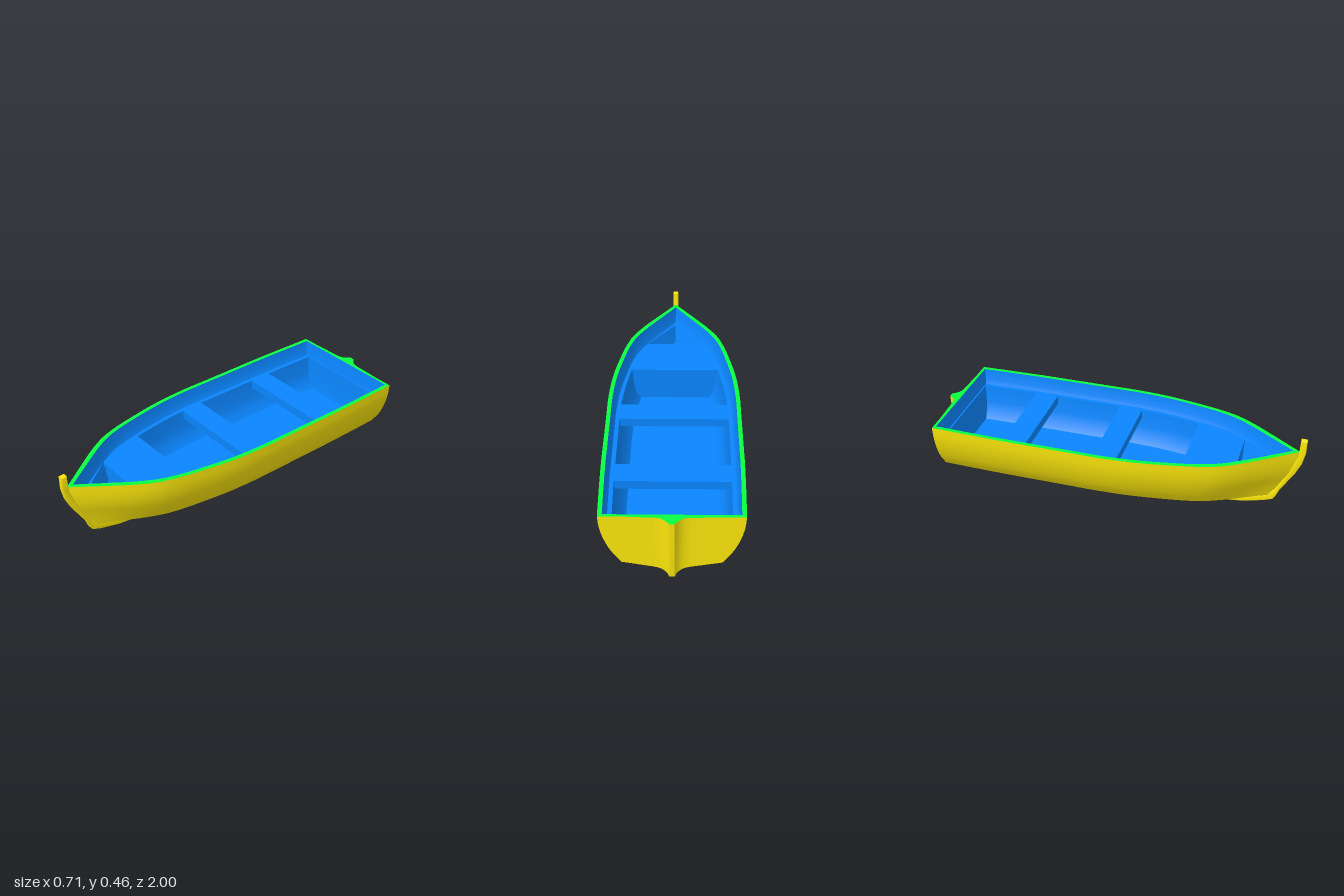
import * as THREE from 'three';
import { toCreasedNormals } from 'three/addons/utils/BufferGeometryUtils.js';

const V = (x, y, z) => new THREE.Vector3(x, y, z);
const paint = (color) => new THREE.MeshStandardMaterial({ color, side: THREE.DoubleSide });
const yellow = paint(0xfbe60a), blue = paint(0x0a86ff), green = paint(0x08ff40);

const STERN = -0.95, RIM = 0.385, DECK = 0.295, WELL_END = 0.38;

// Plan shape of one side: length fraction from stern to bow, width fraction
const plan = new THREE.SplineCurve([
  [0, 0.975], [0.1, 0.99], [0.2, 1], [0.3, 1], [0.4, 1], [0.5, 0.997], [0.6, 0.955], [0.7, 0.86],
  [0.76, 0.785], [0.81, 0.69], [0.86, 0.537], [0.91, 0.35], [0.96, 0.155], [1, 0],
].map(([t, f]) => new THREE.Vector2(t, f))).getPoints(78);

// Rise of the bottom towards bow and stern, fading out at the chine
function lift(y, z) {
  const rise = z > 0.5 ? 0.07 * ((z - 0.5) / 0.36) ** 2 : z < -0.6 ? 0.022 * (-0.6 - z) / 0.35 : 0;
  return y + rise * Math.max(0, 1 - y / 0.09);
}

// Horizontal line round the bow, from one stern corner to the other
function waterline(w, y, zb, zs = STERN, zMax = 2) {
  const half = plan.map((p) => {
    const z = Math.min(zMax, zs + (zb - zs) * p.x);
    return V(w * p.y, lift(y, z), z);
  });
  return [...half, ...half.slice(0, -1).reverse().map((p) => V(-p.x, p.y, p.z))];
}

// Swelling of the transom into the sternpost
const columns = [0.24, 0.12, 0.09, 0.065, 0.045, 0.032, 0.022, 0.012];
const allColumns = [...columns.map((x) => -x), 0, ...[...columns].reverse()];
function swell(x, y) {
  const a = Math.abs(x);
  const s = a < 0.013 ? 1 : a < 0.12 ? 0.1 + 0.9 * (1 - (a - 0.013) / 0.107) ** 4 : 0.1 * Math.max(0, 1 - (a - 0.12) / 0.12);
  return s * (0.025 + 0.025 * Math.min(1, y / RIM) ** 0.5);
}

// Waterline closed across the stern
function loop(w, y, zb, zs, { zMax, bump = 0 } = {}) {
  const side = waterline(w, y, zb, zs, zMax);
  return [...side, ...allColumns.map((x) => V(x, y, zs - bump * swell(x, y)))];
}

// Surface through rows of points
function loft(rows, closed = false) {
  const n = rows[0].length, index = [];
  for (let i = 0; i < rows.length - 1; i++) {
    for (let j = 0; j < (closed ? n : n - 1); j++) {
      const a = i * n + j, b = i * n + (j + 1) % n;
      index.push(a, a + n, b + n, a, b + n, b);
    }
  }
  const g = new THREE.BufferGeometry().setFromPoints(rows.flat());
  g.setIndex(index);
  return toCreasedNormals(g, 0.6);
}

// Flat horizontal sheet
function sheet(outline, y) {
  const shape = new THREE.Shape(outline.map((p) => new THREE.Vector2(p.x, -p.z)));
  return new THREE.ShapeGeometry(shape).rotateX(-Math.PI / 2).translate(0, y, 0);
}

export function createModel() {
  const boat = new THREE.Group();
  const add = (name, geometry, material) => {
    const mesh = new THREE.Mesh(geometry, material);
    mesh.name = name;
    boat.add(mesh);
    return mesh;
  };

  // Hull: each section point is half width, height, bow end
  const section = (pts, n) => new THREE.CatmullRomCurve3(pts.map((p) => V(...p))).getPoints(n);
  const bottom = section([[0.014, 0.004, 0.84], [0.021, 0.022, 0.845], [0.05, 0.043, 0.85],
    [0.135, 0.066, 0.853], [0.247, 0.09, 0.855]], 14);
  const topsides = section([[0.247, 0.09, 0.855], [0.298, 0.165, 0.893], [0.333, 0.25, 0.943],
    [0.349, 0.32, 0.963], [0.354, RIM, 0.968]], 14);
  const rows = (pts) => pts.map((p) => waterline(p.x, p.y, p.z));
  add('hullBottom', loft(rows(bottom)), yellow);
  add('hullSides', loft(rows(topsides)), yellow);

  // Transom with swelling sternpost
  const transom = [...bottom, ...topsides.slice(1)].map((p) => {
    const w = p.x * 0.975, y = lift(p.y, STERN);
    return [-1, ...allColumns, 1].map((c) => {
      const x = Math.max(-w, Math.min(w, c));
      return V(x, y, STERN - (Math.abs(c) === 1 ? 0 : swell(x, y)));
    });
  });
  add('transom', loft(transom.reverse()), yellow);

  // Keel sweeping up into the stem post, drawn as z, y
  const b = 0.005;
  const keelShape = new THREE.Shape([
    [0.998, 0.46], [0.998, 0.385], [0.985, 0.32], [0.955, 0.25], [0.92, 0.19], [0.885, 0.13], [0.868, 0.085],
    [0.855, 0.065], [0.81, 0.046], [0.7, 0.017], [0.6, 0.004], [0.5, 0], [-0.6, 0], [-0.965, 0.022], [-0.975, 0.03],
    [-0.975, 0.05], [-0.94, 0.06], [-0.6, 0.04], [0.6, 0.04], [0.81, 0.085], [0.86, 0.13], [0.92, 0.25],
    [0.962, 0.36], [0.966, 0.46],
  ].map((p) => new THREE.Vector2(...p)));
  const keel = new THREE.ExtrudeGeometry(keelShape, {
    depth: 0.03 - 2 * b, bevelSize: b, bevelOffset: -b, bevelThickness: b, bevelSegments: 3,
  }).translate(0, 0, b - 0.015).rotateY(-Math.PI / 2);
  add('keelAndStem', toCreasedNormals(keel, 0.6), yellow);

  // Gunwale rim and the wall inside it, curving in to the deck
  const rimInner = loop(0.332, RIM, 0.932, -0.935);
  const wallFoot = loop(0.327, DECK + 0.025, 0.918, -0.932);
  const deckEdge = loop(0.315, DECK, 0.905, -0.928);
  add('gunwale', loft([rimInner, loop(0.354, RIM, 0.968, STERN, { bump: 1 })], true), green);
  add('innerWall', loft([deckEdge, wallFoot, rimInner], true), blue);

  // Well: side decks, bowl-shaped walls and floor
  const well = (w, y, zs) => loop(w, y, 0.9, zs, { zMax: WELL_END });
  const wellTop = well(0.293, DECK, -0.92), wellFoot = well(0.235, 0.1, -0.91);
  add('sideDeck', loft([wellTop, loop(0.315, DECK, 0.905, -0.928, { zMax: WELL_END })], true), blue);
  add('wellWalls', loft([wellFoot, well(0.265, 0.135, -0.916), well(0.284, 0.2, -0.918), wellTop], true), blue);
  add('floor', sheet(wellFoot, 0.1), blue);

  // Bow deck running in to a sunken triangular locker
  const bowEdge = waterline(0.315, DECK, 0.905, -0.928).filter((p) => p.z > WELL_END - 0.024)
    .map((p) => V(p.x, p.y, Math.max(p.z, WELL_END)));
  const triangle = (half, y, tip) => bowEdge.map((p) => {
    const z = Math.min(tip, Math.max(0.655, p.z));
    return V(Math.sign(p.x) * half * (tip - z) / (tip - 0.655), y, z);
  });
  const lockerTop = triangle(0.165, DECK, 0.872), lockerFoot = triangle(0.125, 0.2, 0.825);
  add('bowDeck', loft([lockerTop, bowEdge], true), blue);
  add('lockerWalls', loft([lockerFoot, lockerTop], true), blue);
  add('lockerFloor', sheet([V(-0.125, 0, 0.655), V(0.125, 0, 0.655), V(0, 0, 0.825)], 0.2), blue);

  // Two thwarts
  for (const z of [-0.535, -0.025]) {
    add('bench', new THREE.BoxGeometry(0.586, 0.05, 0.13), blue).position.set(0, DECK - 0.024, z);
  }
  return boat;
}
